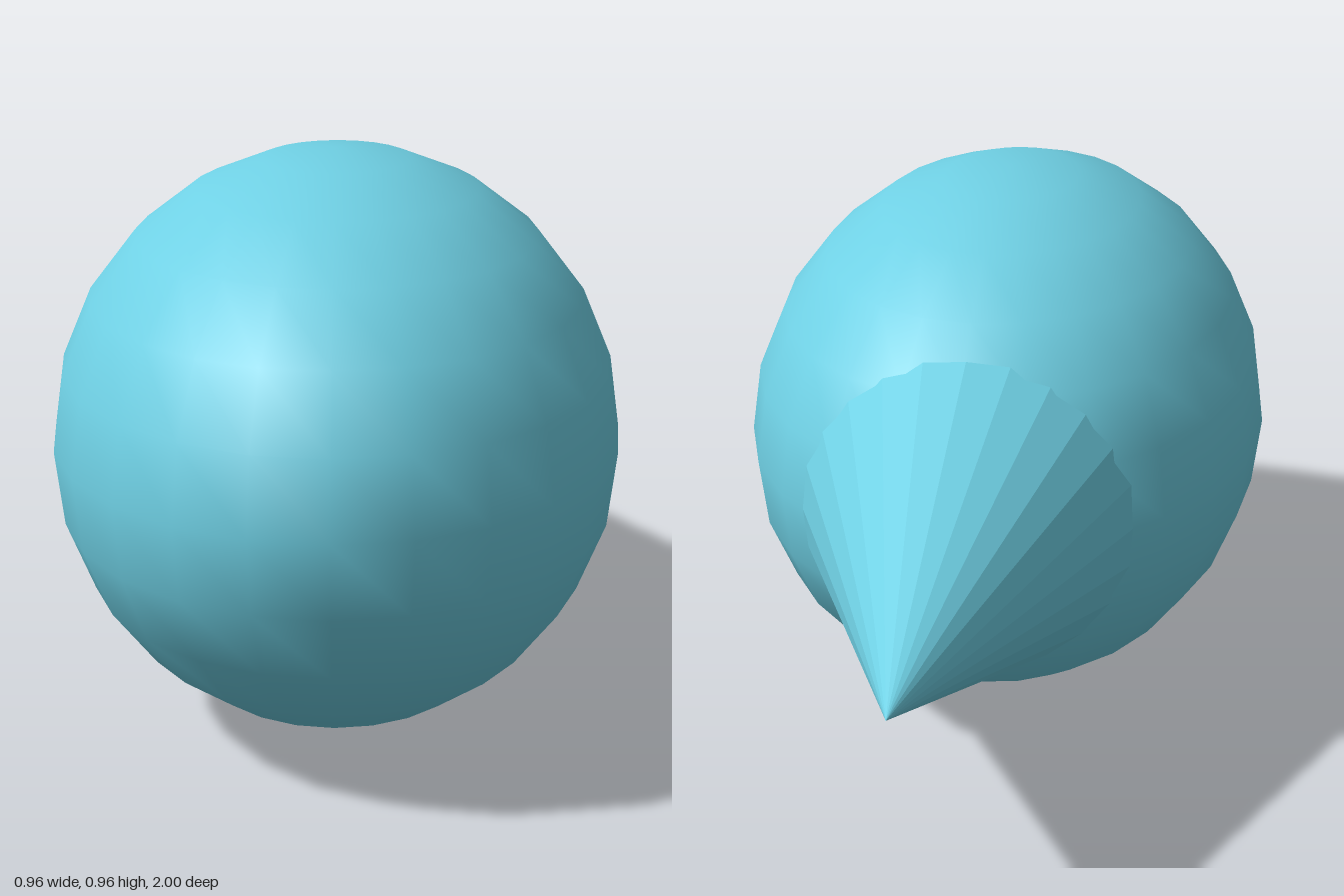
import * as THREE from 'three';

const RADIUS = 0.481;      // body radius across x and y
const HALF_LENGTH = 0.695; // body half length along z
const CONE_BASE = -0.18;   // cone base, sunk into the body
const CONE_SLOPE = 0.383;  // cone radius per unit of length

export function createModel() {
  const model = new THREE.Group();
  model.name = 'pointedEgg';
  const color = 0x6fd0e4;

  // Egg-shaped body: a sphere stretched along z
  const bodyGeometry = new THREE.SphereGeometry(RADIUS, 24, 12);
  bodyGeometry.scale(1, 1, HALF_LENGTH / RADIUS);
  const body = new THREE.Mesh(bodyGeometry, new THREE.MeshStandardMaterial({ color }));
  body.name = 'body';
  body.position.set(0, RADIUS, 1 - HALF_LENGTH);
  model.add(body);

  // Faceted cone pointing backwards
  const length = CONE_BASE + 1;
  const coneGeometry = new THREE.ConeGeometry(length * CONE_SLOPE, length, 24);
  coneGeometry.rotateX(-Math.PI / 2);
  const cone = new THREE.Mesh(
    coneGeometry,
    new THREE.MeshStandardMaterial({ color, flatShading: true })
  );
  cone.name = 'tailCone';
  cone.position.set(0, RADIUS, CONE_BASE - length / 2);
  model.add(cone);

  return model;
}
